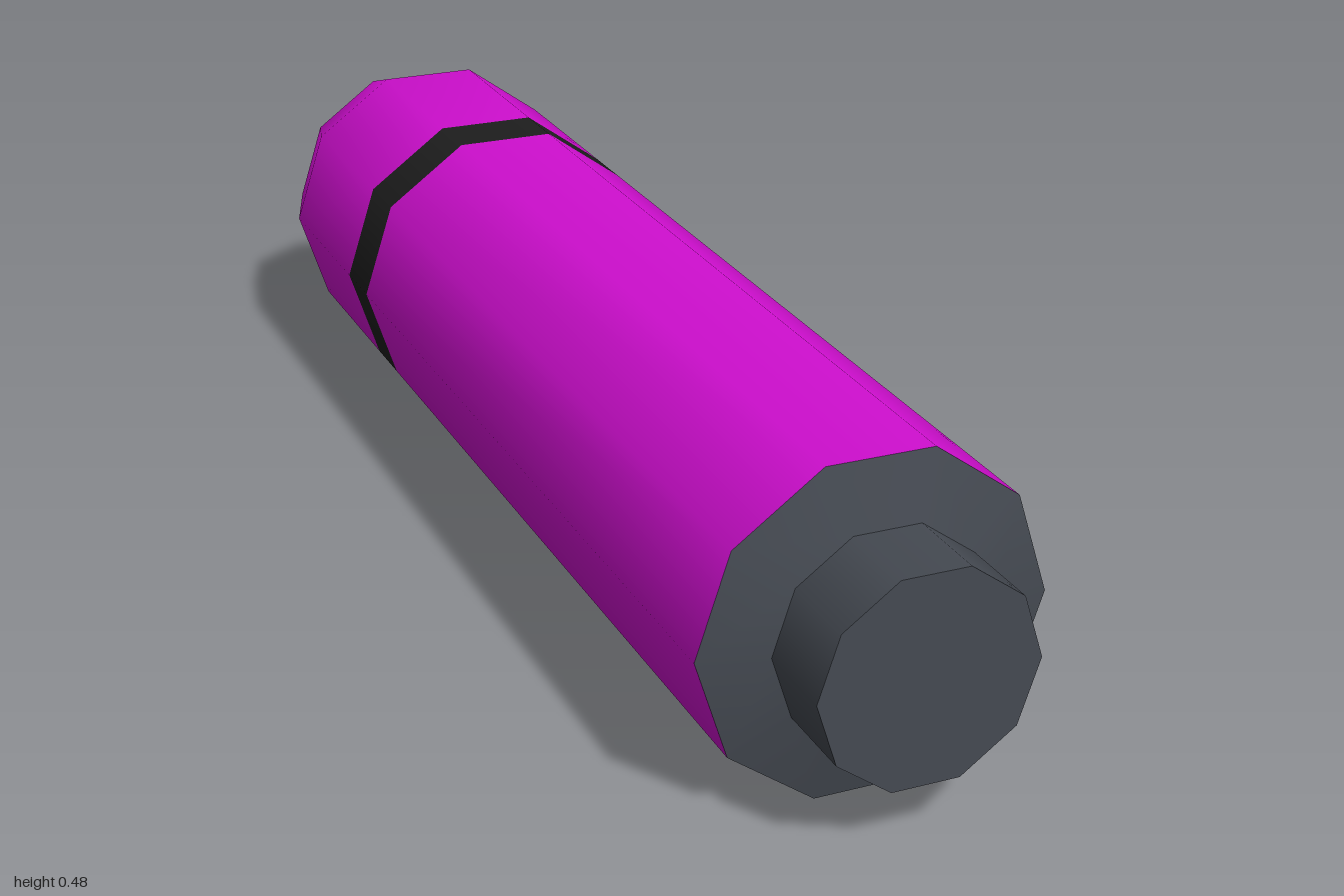
import * as THREE from 'three';

const SIDES = 10;
const CENTRE_Y = 0.238;

export function createModel() {
  const group = new THREE.Group();
  group.name = 'tube';

  const paint = (name, color) => {
    const m = new THREE.MeshStandardMaterial({ color });
    m.name = name;
    return m;
  };
  const magenta = paint('magenta', 0xd20fd2);
  const grey = paint('slate grey', 0x454a52);
  const black = paint('black', 0x1e1e1e);

  const add = (name, geometry, material) => {
    const mesh = new THREE.Mesh(geometry, material);
    mesh.name = name;
    mesh.position.y = CENTRE_Y;
    group.add(mesh);
  };

  // Ten-sided shell along z from [radius, z] pairs, listed back to front
  const shell = (name, profile, material) => {
    const points = profile.map(([r, z]) => new THREE.Vector2(r, z));
    const g = new THREE.LatheGeometry(points, SIDES, Math.PI / SIDES);
    add(name, g.rotateX(Math.PI / 2), material);
  };

  // Tail with tapered end, dark band and main barrel
  shell('tail', [[0.207, -1], [0.25, -0.875], [0.25, -0.575]], magenta);
  shell('band', [[0.25, -0.575], [0.25, -0.48]], black);
  shell('barrel', [[0.25, -0.48], [0.25, 0.85]], magenta);

  // Sloped shoulder and nozzle
  shell('shoulder', [[0.25, 0.85], [0.156, 0.875]], grey);
  shell('nozzle', [[0.156, 0.875], [0.156, 1]], grey);

  // Flat ends
  add('nozzleFace', new THREE.CircleGeometry(0.156, SIDES).translate(0, 0, 1), grey);
  add('tailFace', new THREE.CircleGeometry(0.207, SIDES).rotateY(Math.PI).translate(0, 0, -1), black);

  return group;
}
